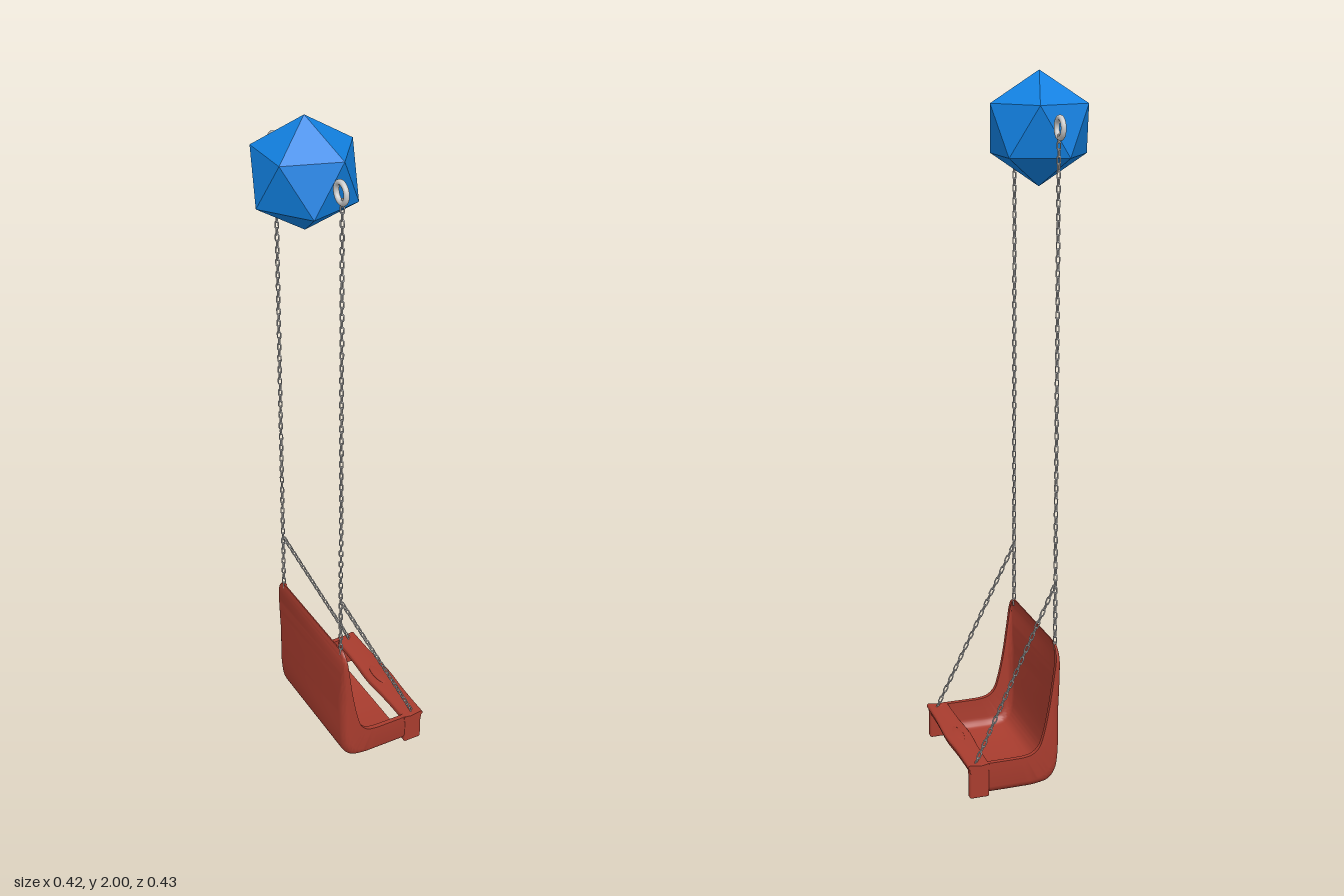
import * as THREE from 'three';
import { mergeGeometries, toCreasedNormals } from 'three/addons/utils/BufferGeometryUtils.js';
import { RoundedBoxGeometry } from 'three/addons/geometries/RoundedBoxGeometry.js';

const red = new THREE.MeshStandardMaterial({ color: 0xa83c2e });
const blue = new THREE.MeshStandardMaterial({ color: 0x1180e0, flatShading: true });
const grey = new THREE.MeshStandardMaterial({ color: 0xcccccc });

function part(name, geometry, material, x = 0, y = 0, z = 0) {
  const mesh = new THREE.Mesh(geometry, material);
  mesh.name = name;
  mesh.position.set(x, y, z);
  return mesh;
}

// Half of a U section: rim, straight wall, rounded corner. Returns [z, depth] pairs.
function halfSection(w, h, r, base) {
  const pts = [[w, h], [w, base + r]];
  for (let i = 1; i <= 7; i++) {
    const a = (i / 7) * Math.PI / 2;
    pts.push([w - r + r * Math.cos(a), base + r - r * Math.sin(a)]);
  }
  return pts;
}

// Seat shell: U sections swept along the floor and up the back
function shellGeometry() {
  const curve = (pts) => new THREE.CatmullRomCurve3(pts.map(([x, y]) => new THREE.Vector3(x, y, 0)));
  const outer = curve([[0.15, 0.005], [0.06, 0.005], [0, 0.007], [-0.04, 0.018], [-0.06, 0.045],
    [-0.068, 0.09], [-0.07, 0.2], [-0.07, 0.3], [-0.068, 0.385], [-0.065, 0.427]]);
  const rim = curve([[0.15, 0.105], [0.07, 0.105], [0.04, 0.106], [0.015, 0.112], [-0.005, 0.13],
    [-0.018, 0.165], [-0.034, 0.24], [-0.046, 0.32], [-0.055, 0.39], [-0.058, 0.428]]);
  const steps = 54, pos = [], index = [];
  let n = 0;
  for (let s = 0; s <= steps; s++) {
    const o = outer.getPoint(s / steps), d = rim.getPoint(s / steps).sub(o);
    const h = d.length();
    d.normalize();
    const k = Math.min(1, Math.max(0, (o.y - 0.37) / 0.0575));
    const w = 0.175 + 0.04 * Math.sqrt(1 - k * k);
    const r = Math.min(0.034, h * 0.75), t = Math.min(0.012, h * 0.45);
    const out = halfSection(w, h, r, 0);
    const inn = halfSection(w - 0.014, h, Math.max(0.001, Math.min(r - t * 0.5, h - t - 0.001)), t);
    const flip = (a) => a.map(([z, y]) => [-z, y]).reverse();
    const loop = [...out, ...flip(out), ...inn.map(([z, y]) => [-z, y]), ...inn.slice().reverse()];
    n = loop.length;
    for (const [z, dep] of loop) pos.push(o.x + d.x * dep, o.y + d.y * dep, z);
  }
  for (let s = 0; s < steps; s++) {
    for (let i = 0; i < n; i++) {
      const a = s * n + i, b = s * n + (i + 1) % n;
      index.push(a, a + n, b, b, a + n, b + n);
    }
  }
  // end caps join the outer half of the loop to the inner half
  const last = steps * n;
  for (let i = 0; i < n / 2 - 1; i++) {
    const a = i, b = i + 1, c = n - 2 - i, d = n - 1 - i;
    index.push(a, b, d, b, c, d);
    index.push(last + a, last + d, last + b, last + b, last + d, last + c);
  }
  const g = new THREE.BufferGeometry();
  g.setAttribute('position', new THREE.Float32BufferAttribute(pos, 3));
  g.setIndex(index);
  return toCreasedNormals(g, 0.7);
}

// Front bar: rounded profile across the width, bowed forward in the middle
function barGeometry() {
  const p = new THREE.Shape();
  p.moveTo(0.142, 0.086);
  p.lineTo(0.196, 0.078);
  p.quadraticCurveTo(0.202, 0.08, 0.202, 0.094);
  p.lineTo(0.206, 0.097);
  p.quadraticCurveTo(0.208, 0.106, 0.2, 0.107);
  p.lineTo(0.165, 0.102);
  p.lineTo(0.15, 0.105);
  p.quadraticCurveTo(0.138, 0.104, 0.142, 0.086);
  const g = new THREE.ExtrudeGeometry(p, { depth: 0.434, steps: 24, bevelEnabled: false, curveSegments: 5 });
  g.translate(0, 0, -0.217);
  const v = g.attributes.position;
  for (let i = 0; i < v.count; i++) {
    const bow = Math.exp(-Math.pow(v.getZ(i) / 0.08, 2));
    v.setX(i, v.getX(i) + (v.getX(i) > 0.17 ? 0.006 : -0.007) * bow);
  }
  return toCreasedNormals(g, 0.7);
}

// Chain of stretched rings, each turned a quarter from the one before
function chainGeometry(from, to) {
  const link = new THREE.TorusGeometry(0.0048, 0.0021, 6, 12);
  link.rotateZ(Math.PI / 12);
  const v = link.attributes.position;
  for (let i = 0; i < v.count; i++) v.setY(i, v.getY(i) + Math.sign(v.getY(i)) * 0.006);
  link.computeVertexNormals();
  const dir = to.clone().sub(from);
  const count = Math.round(dir.length() / 0.0185);
  const aim = new THREE.Quaternion().setFromUnitVectors(new THREE.Vector3(0, 1, 0), dir.clone().normalize());
  const links = [];
  for (let i = 0; i < count; i++) {
    const c = from.clone().addScaledVector(dir, (i + 0.5) / count);
    const g = link.clone().rotateY(Math.PI / 4 + (i % 2) * Math.PI / 2);
    links.push(g.applyQuaternion(aim).translate(c.x, c.y, c.z));
  }
  return mergeGeometries(links);
}

export function createModel() {
  const model = new THREE.Group();
  model.name = 'swing';

  // Faceted ball with one corner pointing straight up
  const ball = new THREE.IcosahedronGeometry(0.155, 0);
  ball.rotateZ(-Math.atan(2 / (1 + Math.sqrt(5))));
  model.add(part('facetedBall', ball, blue, -0.072, 1.845, 0));

  // Seat
  const seat = new THREE.Group();
  seat.name = 'seat';
  seat.add(part('seatShell', shellGeometry(), red));
  seat.add(part('frontBar', barGeometry(), red));
  const bump = new THREE.SphereGeometry(1, 20, 10).scale(0.017, 0.004, 0.05);
  seat.add(part('barBump', bump, red, 0.174, 0.102, 0));
  model.add(seat);

  // Both sides: bar leg, hanging ring, long chain and slanted chain
  for (const [side, s] of [['front', 1], ['back', -1]]) {
    seat.add(part(side + 'BarLeg', new RoundedBoxGeometry(0.058, 0.1, 0.022, 3, 0.006), red, 0.173, 0.053, s * 0.206));
    const ring = new THREE.TorusGeometry(0.0265, 0.0075, 12, 32).rotateY(Math.PI / 2);
    model.add(part(side + 'Ring', ring, grey, -0.066, 1.86, s * 0.181));
    const top = new THREE.Vector3(-0.063, 1.842, s * 0.181);
    const back = new THREE.Vector3(-0.062, 0.41, s * 0.181);
    const fork = new THREE.Vector3(-0.06, 0.6, s * 0.181);
    const front = new THREE.Vector3(0.18, 0.1, s * 0.197);
    model.add(part(side + 'LongChain', chainGeometry(back, top), grey));
    model.add(part(side + 'SlantedChain', chainGeometry(front, fork), grey));
  }
  return model;
}
